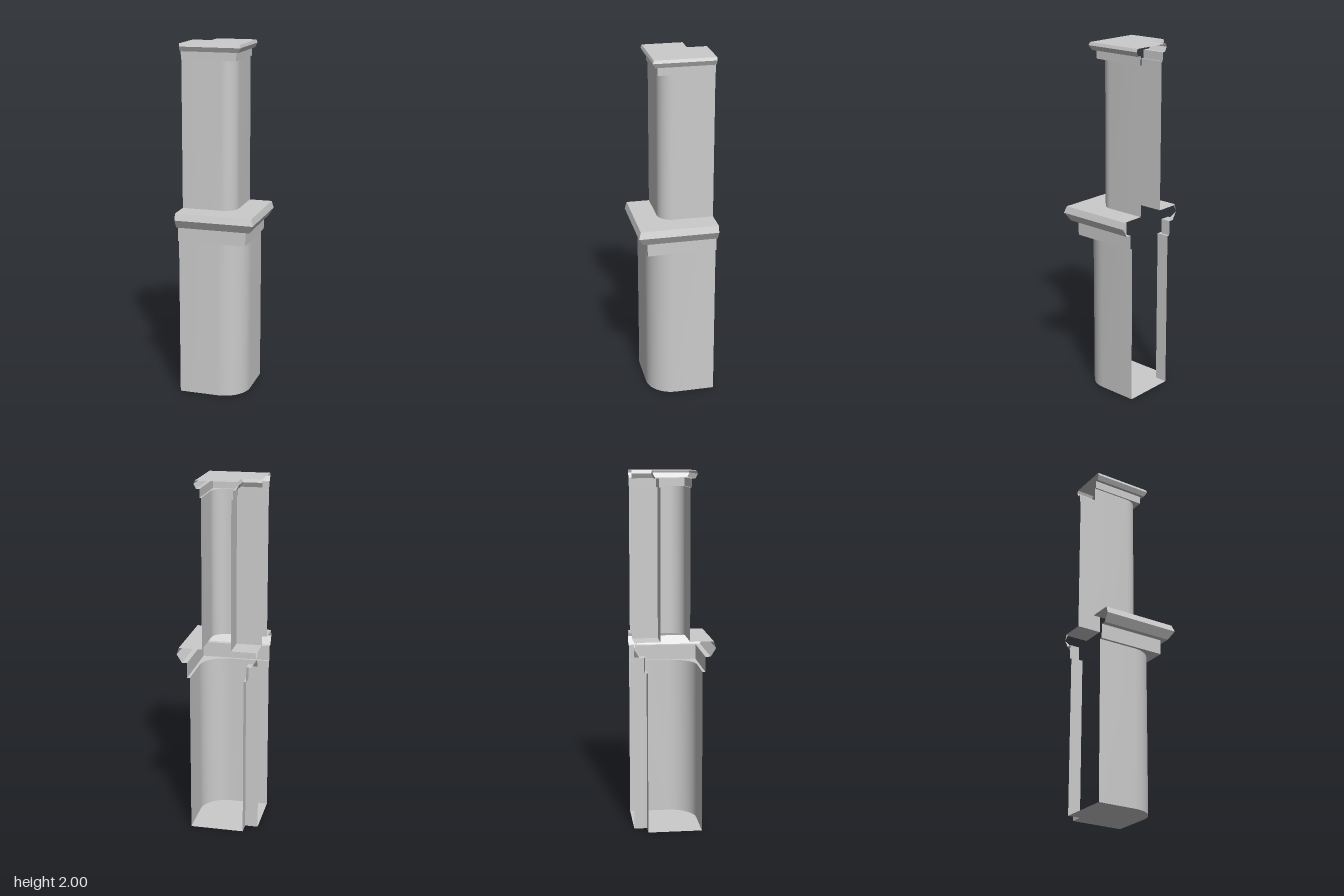
import * as THREE from 'three';
import { toCreasedNormals } from 'three/addons/utils/BufferGeometryUtils.js';

const END = -0.224;   // plane where both arms of the corner are cut open
const STEPS = 10;     // segments in a rounded corner

// L-shaped path at offset d from the wall's centre line, with corner radius r
function path(d, r) {
  const pts = [[END, d]];
  for (let i = 0; i <= STEPS; i++) {
    const t = (i / STEPS) * Math.PI / 2;
    pts.push([d - r + r * Math.sin(t), d - r + r * Math.cos(t)]);
  }
  pts.push([d, END]);
  return pts;
}

// Sweeps a profile of [offset, height, corner radius] rows along the L
function sweep(rows) {
  const rings = rows.map(([d, y, r = 0]) => path(d, r).map(([x, z]) => new THREE.Vector3(x, y, z)));
  const pos = [];
  const tri = (a, b, c) => {
    const area = b.clone().sub(a).cross(c.clone().sub(a)).length();
    if (area > 1e-8) for (const p of [a, b, c]) pos.push(p.x, p.y, p.z);
  };
  for (let j = 0; j < rings.length - 1; j++) {
    const lo = rings[j], hi = rings[j + 1];
    for (let i = 0; i < lo.length - 1; i++) {
      tri(lo[i], lo[i + 1], hi[i + 1]);
      tri(lo[i], hi[i + 1], hi[i]);
    }
  }
  const geo = new THREE.BufferGeometry();
  geo.setAttribute('position', new THREE.Float32BufferAttribute(pos, 3));
  return toCreasedNormals(geo, 0.5);
}

export function createModel() {
  const group = new THREE.Group();
  const material = new THREE.MeshStandardMaterial({ color: 0xcccccc, side: THREE.DoubleSide });

  const add = (name, rows) => {
    const mesh = new THREE.Mesh(sweep(rows), material);
    mesh.name = name;
    group.add(mesh);
  };
  // Outer face of the wall, and the same profile with a sharp corner on the inner face
  const addBothFaces = (name, rows) => {
    add(name + 'Outer', rows);
    add(name + 'Inner', rows.map(([d, y]) => [-d, y, 0]).reverse());
  };

  const LOW = 0.151, HIGH = 0.081;

  // Lower shaft with its floor
  add('floor', [[-LOW, 0], [LOW, 0, LOW]]);
  addBothFaces('lowerShaft', [[LOW, 0, LOW], [LOW, 0.91, LOW]]);

  // Square band above the lower shaft
  addBothFaces('lowerBand', [[LOW, 0.91, LOW], [0.166, 0.91], [0.166, 0.995]]);

  // Middle cornice and the ledge the upper shaft rises from
  addBothFaces('cornice', [
    [0.166, 0.995], [0.195, 0.995], [0.224, 1.042], [0.212, 1.08], [HIGH, 1.08, HIGH],
  ]);

  // Upper shaft
  addBothFaces('upperShaft', [[HIGH, 1.08, HIGH], [HIGH, 1.91, HIGH]]);

  // Band and moulded edge under the top
  addBothFaces('upperBand', [[HIGH, 1.91, HIGH], [0.089, 1.91], [0.089, 1.957]]);
  addBothFaces('capMoulding', [[0.089, 1.957], [0.106, 1.957], [0.12, 1.983], [0.114, 2]]);

  // Flat top
  add('top', [[0.114, 2], [-0.114, 2]]);

  return group;
}
